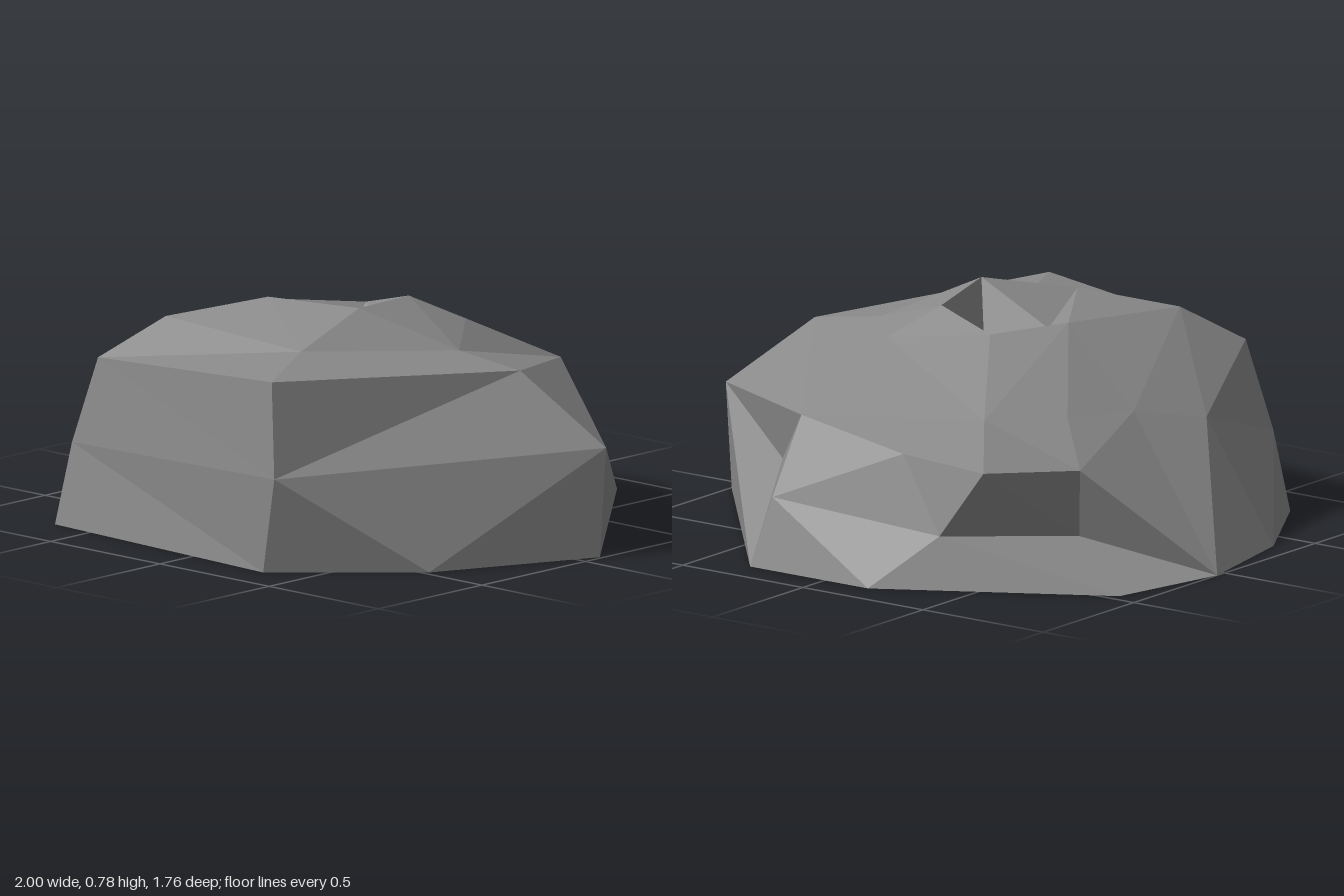
import * as THREE from 'three';

// Cross-section loops from the ground up, each running front -> left -> back -> right
const base = [[0.34, 0, 0.86], [0.74, 0, 0.48], [0.99, 0, -0.08], [0.31, 0, -0.88], [-0.18, 0, -0.88],
  [-0.91, 0, -0.46], [-1, 0, -0.04], [-0.91, 0, 0.39], [-0.67, 0, 0.8]];
const belt = [[0.41, 0.33, 0.88], [1, 0.37, -0.1], [0.51, 0.25, -0.435], [0.27, 0.23, -0.81], [-0.35, 0.17, -0.71],
  [-0.6, 0.12, -0.27], base[6], [-0.68, 0.42, 0.325], [-0.63, 0.28, 0.76]];
const shoulder = [[0.37, 0.65, 0.85], [0.72, 0.61, 0.02], [0.27, 0.48, -0.65], [-0.165, 0.415, -0.665], [-0.48, 0.39, -0.64],
  [-0.64, 0.36, -0.32], [-0.57, 0.475, 0.07], [-0.4, 0.71, 0.55], [-0.53, 0.58, 0.74]];
const rim = [[0.2, 0.78, 0.25], [0.125, 0.76, -0.07], [-0.1, 0.7, -0.1], [-0.26, 0.72, 0.12], [-0.14, 0.78, 0.33]];
const crown = [[0.21, 0.68, 0.54], [0.47, 0.645, 0.05], [0.225, 0.67, -0.24], [-0.31, 0.5, -0.41],
  [-0.487, 0.49, -0.185], rim[3], rim[4]];
const pit = [[0.13, 0.61, 0.17], [0.08, 0.61, 0], [-0.08, 0.6, 0], [-0.13, 0.6, 0.08], [-0.12, 0.6, 0.29]];
const pitBottom = [[-0.02, 0.51, 0.14]];

// Joins two loops with triangles; each step advances the outer (o) or inner (i) loop
function zip(outer, inner, steps) {
  const points = [];
  let a = 0, b = 0;
  for (const step of steps) {
    const o = outer[a % outer.length], i = inner[b % inner.length];
    const next = step === 'o' ? outer[++a % outer.length] : inner[++b % inner.length];
    if (o !== i && o !== next && i !== next) points.push(...o, ...next, ...i);
  }
  const geometry = new THREE.BufferGeometry();
  geometry.setAttribute('position', new THREE.Float32BufferAttribute(points, 3));
  geometry.computeVertexNormals();
  return geometry;
}

export function createModel() {
  const group = new THREE.Group();
  group.name = 'hollowRock';
  const stone = new THREE.MeshStandardMaterial({ color: 0x8a8a8a, flatShading: true, side: THREE.DoubleSide });
  stone.name = 'grey stone';

  // Open-bottomed shell, from the foot up and down into the crater
  const parts = [
    ['lowerWall', base, belt, 'oiooiioioioioiiooi'],
    ['upperWall', belt, shoulder, 'ioiooioioioioiiooi'],
    ['shoulderSlope', shoulder, crown, 'iooiioooioioiioo'],
    ['craterSlope', crown, rim, 'oioioiooioio'],
    ['craterWall', rim, pit, 'oioioioioi'],
    ['craterFloor', pit, pitBottom, 'ooooo'],
  ];
  for (const [name, outer, inner, steps] of parts) {
    const mesh = new THREE.Mesh(zip(outer, inner, steps), stone);
    mesh.name = name;
    group.add(mesh);
  }
  return group;
}
